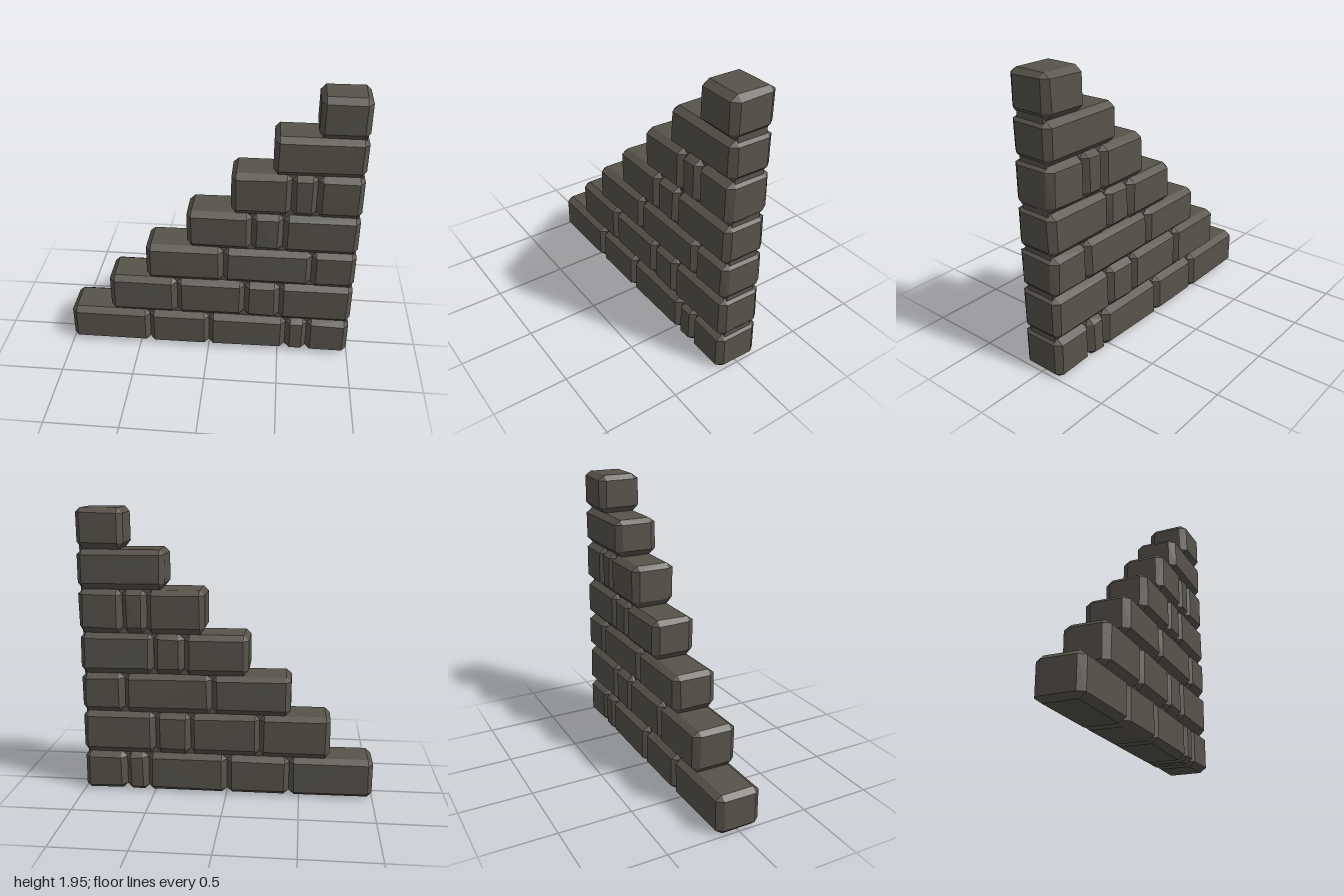
import * as THREE from 'three';
import { ConvexGeometry } from 'three/addons/geometries/ConvexGeometry.js';

// Each course: bottom, top, then the x positions of the joints from left to right
const COURSES = [
  { y0: 0.0, y1: 0.272, joints: [-1.0, -0.43, 0.0, 0.55, 0.7, 0.995] },
  { y0: 0.272, y1: 0.567, joints: [-0.705, -0.225, 0.25, 0.495, 0.997] },
  { y0: 0.567, y1: 0.84, joints: [-0.435, 0.1, 0.7, 0.997] },
  { y0: 0.84, y1: 1.12, joints: [-0.15, 0.285, 0.495, 0.997] },
  { y0: 1.12, y1: 1.417, joints: [0.145, 0.535, 0.7, 0.997] },
  { y0: 1.417, y1: 1.682, joints: [0.41, 0.997] },
  { y0: 1.682, y1: 1.952, joints: [0.68, 0.993] },
];
const HALF_DEPTH = 0.155;

// Small repeatable variation for the hewn look
let seed = 7;
function vary(amount) {
  seed = (seed * 16807) % 2147483647;
  return (seed / 2147483647 - 0.5) * 2 * amount;
}

// Block with all edges and corners cut off: three points at every corner
function hewnBlock(x0, x1, y0, y1) {
  const points = [];
  const hx = (x1 - x0) / 2;
  const hy = (y1 - y0) / 2;
  const cutX = 0.034;
  const cutZ = 0.045;
  for (const sx of [-1, 1]) {
    for (const sy of [-1, 1]) {
      const cutY = sy < 0 && y0 > 0 ? 0.045 : 0.032;
      for (const sz of [-1, 1]) {
        const hz = HALF_DEPTH + vary(0.003);
        const x = sx * (hx - cutX + vary(0.004));
        const y = sy * (hy - cutY + vary(0.004));
        const z = sz * (hz - cutZ + vary(0.004));
        points.push(
          new THREE.Vector3(sx * hx, y, z),
          new THREE.Vector3(x, sy * hy, z),
          new THREE.Vector3(x, y, sz * hz),
        );
      }
    }
  }
  return new ConvexGeometry(points);
}

export function createModel() {
  const model = new THREE.Group();
  model.name = 'steppedWall';
  const stone = new THREE.MeshStandardMaterial({ color: 0x57534b });
  stone.name = 'darkStone';

  COURSES.forEach(({ y0, y1, joints }, row) => {
    const course = new THREE.Group();
    course.name = `course${row + 1}`;
    model.add(course);

    // Blocks of the course
    for (let i = 0; i < joints.length - 1; i++) {
      const block = new THREE.Mesh(hewnBlock(joints[i], joints[i + 1], y0, y1), stone);
      block.name = 'block';
      block.position.set((joints[i] + joints[i + 1]) / 2, (y0 + y1) / 2, 0);
      course.add(block);
    }

    // Recessed filling that closes the joint below the course
    if (row > 0) {
      const left = joints[0] + 0.05;
      const right = 0.978;
      const filling = new THREE.Mesh(new THREE.BoxGeometry(right - left, 0.1, 0.21), stone);
      filling.name = 'jointFilling';
      filling.position.set((left + right) / 2, y0, 0);
      course.add(filling);
    }
  });
  return model;
}
